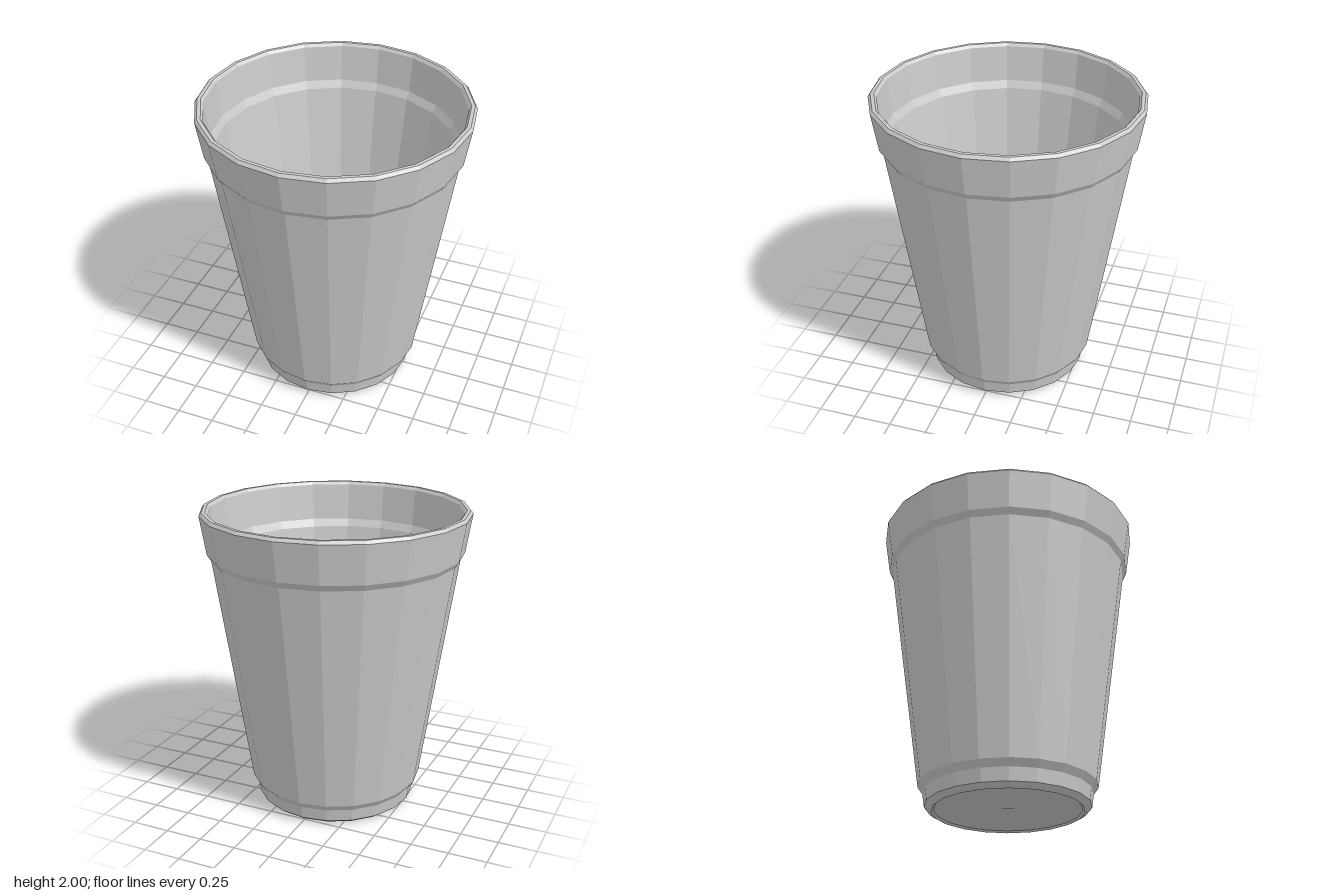
import * as THREE from 'three';

const SIDES = 20;

// Faceted surface of revolution from [radius, height] pairs
function turned(name, profile, material) {
  const points = profile.map(([r, y]) => new THREE.Vector2(r, y));
  const geometry = new THREE.LatheGeometry(points, SIDES).toNonIndexed();
  geometry.computeVertexNormals();
  const mesh = new THREE.Mesh(geometry, material);
  mesh.name = name;
  return mesh;
}

export function createModel() {
  const material = new THREE.MeshStandardMaterial({ color: 0xcccccc, flatShading: true });

  // Each profile starts on the edge where the previous one ends
  const outerFoot = [0.505, 0.01];
  const rimOuter = [0.868, 1.98];
  const rimInner = [0.815, 1.98];
  const floorEdge = [0.49, 0.05];

  const cup = new THREE.Group();
  cup.name = 'cup';
  cup.add(
    // Underside with a narrow standing ring and a small central dimple
    turned('base', [[0, 0.03], [0.045, 0.012], [0.47, 0.012], [0.485, 0], outerFoot], material),
    // Tapered wall, stepped at the foot and at the collar
    turned('outerWall', [
      outerFoot, [0.53, 0.03], [0.543, 0.115], [0.575, 0.16],
      [0.802, 1.69], [0.828, 1.73], rimOuter,
    ], material),
    // Bevelled lip
    turned('rim', [rimOuter, [0.852, 2], [0.83, 2], rimInner], material),
    // Inside wall follows the outer steps
    turned('innerWall', [
      rimInner, [0.79, 1.74], [0.765, 1.69], [0.54, 0.17], [0.51, 0.125], floorEdge,
    ], material),
    // Inside floor with a small central dimple
    turned('floor', [floorEdge, [0.045, 0.05], [0, 0.035]], material),
  );
  return cup;
}
